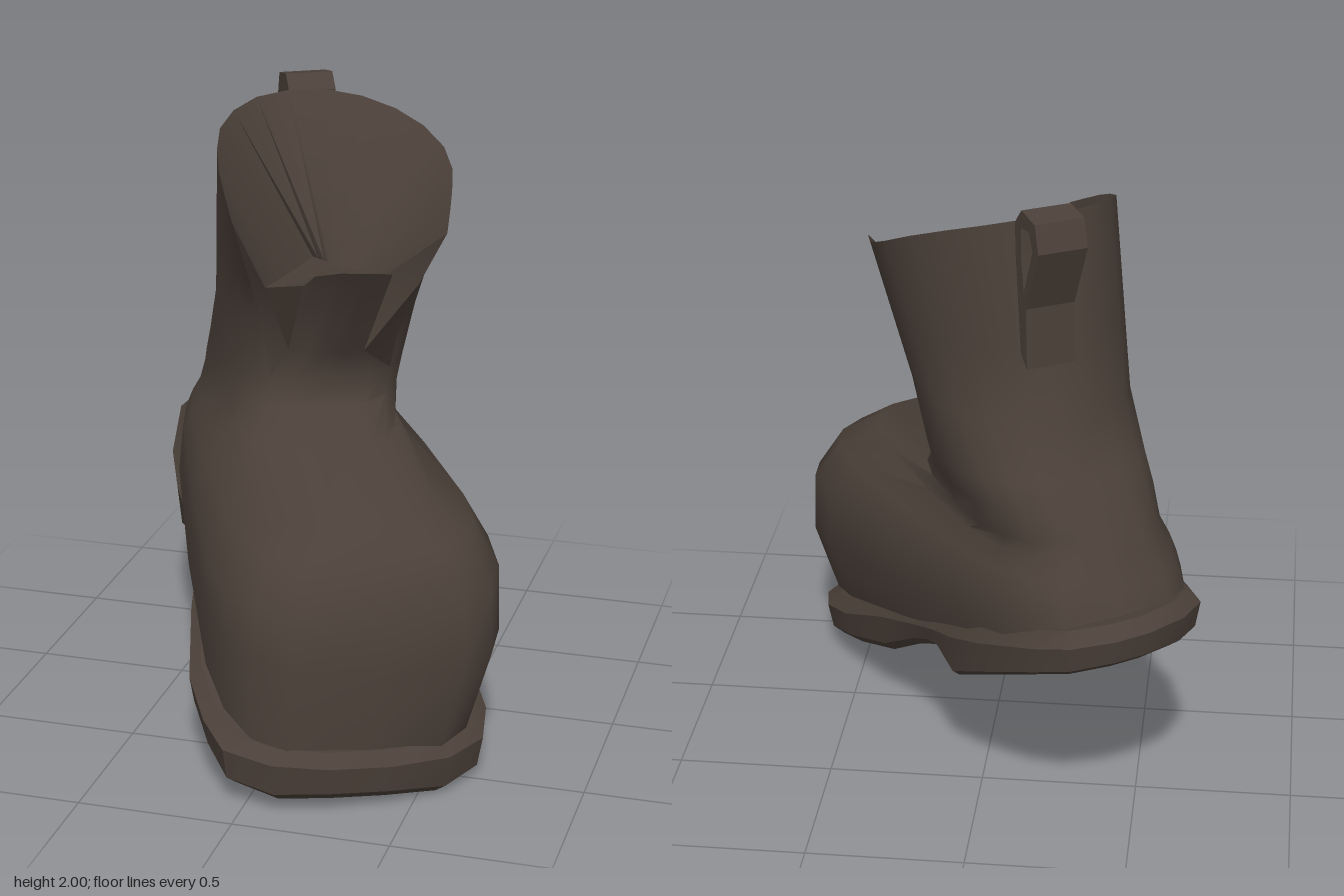
import * as THREE from 'three';
import { mergeGeometries, toCreasedNormals } from 'three/addons/utils/BufferGeometryUtils.js';

const V = (x, y, z) => new THREE.Vector3(x, y, z);
const YAW = Math.PI / 6;
// s runs heel to toe, t runs across the foot
const place = (s, t, y) => V(s * Math.sin(YAW) + t * Math.cos(YAW), y, s * Math.cos(YAW) - t * Math.sin(YAW));
const lerp = THREE.MathUtils.lerp;

// Skin rows of points, bottom row first, running counter-clockwise seen from above
function loft(rows, closed = false) {
  const n = rows[0].length, index = [];
  for (let i = 0; i < rows.length - 1; i++) {
    for (let j = 0; j < (closed ? n : n - 1); j++) {
      const k = (j + 1) % n, a = i * n + j, b = i * n + k, c = b + n, d = a + n;
      index.push(a, b, c, a, c, d);
    }
  }
  const g = new THREE.BufferGeometry().setFromPoints(rows.flat());
  g.setIndex(index);
  return g.toNonIndexed();
}

const curve = (pts, n) => new THREE.CatmullRomCurve3(pts.map(p => V(...p))).getSpacedPoints(n);
const mix = (a, b, f) => a.map((p, i) => p.clone().lerp(b[i], f));

export function createModel() {
  const boot = new THREE.Group();
  boot.name = 'boot';
  const leather = new THREE.MeshStandardMaterial({ color: 0x4b4039, side: THREE.DoubleSide });
  leather.name = 'dark brown leather';
  const add = (name, geometry, crease, parent = boot) => {
    const m = new THREE.Mesh(toCreasedNormals(geometry, crease), leather);
    m.name = name;
    parent.add(m);
    return m;
  };

  // Sole stations, toe to heel: s, left t, right t, bottom y, top y
  const stations = [
    [0.895, -0.2, 0.0, 0.03, 0.19], [0.85, -0.37, 0.2, 0.015, 0.19],
    [0.745, -0.5, 0.34, 0.03, 0.2], [0.6, -0.53, 0.395, 0.08, 0.235],
    [0.41, -0.535, 0.4, 0.14, 0.295], [0.13, -0.47, 0.38, 0.24, 0.415],
    [-0.1, -0.4, 0.365, 0.37, 0.5], [-0.23, -0.395, 0.365, 0.43, 0.55],
    [-0.31, -0.4, 0.365, 0.45, 0.58], [-0.44, -0.4, 0.365, 0.42, 0.62],
    [-0.62, -0.38, 0.35, 0.505, 0.685], [-0.865, -0.3, 0.27, 0.605, 0.765],
    [-0.965, -0.19, 0.19, 0.635, 0.79], [-1.01, -0.05, 0.06, 0.65, 0.8],
  ];
  const soleSide = (side, inset, height) => stations.map(st => {
    const c = (st[1] + st[2]) / 2;
    const t = c + (st[side] - c) * (1 - inset / 0.45);
    return place(st[0] * (1 - inset / 0.95), t, height(st[3], st[4]) - 0.07 * t);
  });
  const soleRing = (inset, height) =>
    [...soleSide(2, inset, height), ...soleSide(1, inset, height).reverse()];
  const bottom = b => b, top = (b, t) => t;
  const sole = new THREE.Group();
  sole.name = 'sole';
  boot.add(sole);
  add('soleEdge', loft([
    soleRing(0.05, bottom), soleRing(0.015, b => b + 0.03),
    soleRing(0, (b, t) => t - 0.04), soleRing(0.04, top),
  ], true), 0.45, sole);
  add('soleTread', loft([soleSide(1, 0.05, bottom), soleSide(2, 0.05, bottom)]), 0.3, sole);
  add('weltTop', loft([soleSide(2, 0.04, top), soleSide(1, 0.04, top)]), 0.3, sole);

  // Foot rings: back s, front s, back half width, front half width, back t, front t, back y, front y, squareness
  const N = 20;
  const rings = [
    [-0.94, 0.85, 0.33, 0.475, -0.01, -0.07, 0.75, 0.17, 0.55],
    [-0.915, 0.865, 0.33, 0.525, 0, -0.03, 0.81, 0.44, 0.55],
    [-0.89, 0.845, 0.325, 0.515, 0, -0.02, 0.86, 0.64, 0.55],
    [-0.865, 0.775, 0.32, 0.43, 0, -0.02, 0.9, 0.79, 0.58],
    [-0.845, 0.69, 0.315, 0.3, 0, -0.03, 0.95, 0.865, 0.65],
    [-0.815, 0.2, 0.31, 0.27, 0.01, 0, 1.0, 0.935, 0.72],
    [-0.775, 0.04, 0.315, 0.29, 0.025, 0.025, 1.08, 1.03, 0.75],
    [-0.72, 0.015, 0.32, 0.3, 0.04, 0.04, 1.17, 1.12, 0.75],
  ].map(([sB, sF, wB, wF, tB, tF, yB, yF, e], r) => Array.from({ length: N }, (_, k) => {
    const pow = v => Math.sign(v) * Math.abs(v) ** e;
    const a = k / N * Math.PI * 2, f = (pow(Math.cos(a)) + 1) / 2;
    const t = lerp(tB, tF, f) + lerp(wB, wF, f) * pow(Math.sin(a));
    return place(lerp(sB, sF, f), t, lerp(yB, yF, f) - (r < 2 ? 0.07 * t : 0));
  }));

  // Shaft rows, open at the front
  const ankle = rings.at(-1);
  const shaftBase = ankle.slice(2, N - 1);
  const mid = curve([
    [0.25, 1.33, -0.05], [0.245, 1.32, -0.27], [0.125, 1.31, -0.48], [-0.09, 1.31, -0.595],
    [-0.28, 1.31, -0.6], [-0.4, 1.31, -0.45], [-0.44, 1.31, -0.25], [-0.355, 1.32, -0.07], [-0.18, 1.33, 0.08],
  ], 16);
  const rim = curve([
    [0.43, 1.66, 0.07], [0.38, 1.74, -0.2], [0.33, 1.8, -0.36], [0.18, 1.88, -0.49],
    [0, 1.93, -0.54], [-0.12, 1.95, -0.53], [-0.25, 1.955, -0.46], [-0.34, 1.945, -0.34],
    [-0.38, 1.905, -0.16], [-0.33, 1.835, 0.05], [-0.2, 1.71, 0.31],
  ], 16);
  const upper = mix(mid, rim, 0.4);
  const shaftRows = [shaftBase, mid, upper, rim];

  // Tongue rows, leaning out through the opening
  const tongueBase = [18, 19, 0, 1, 2].map(k => ankle[k]);
  const tongueMid = curve([[-0.1, 1.22, 0.04], [0.03, 1.22, 0.045], [0.14, 1.22, -0.01]], 4);
  const tongueTop = curve([[0, 1.49, 0.2], [0.07, 1.55, 0.26], [0.18, 1.55, 0.22], [0.27, 1.53, 0.13]], 4);

  // Foot, shaft and tongue share one smooth skin
  add('upper', mergeGeometries([
    loft(rings, true), loft(shaftRows), loft([tongueBase, tongueMid, tongueTop]),
  ]), 1.0);

  // Funnel-shaped lining inside the shaft
  const floor = [
    ...curve([[0.2, 1.47, -0.03], [0.05, 1.45, -0.15], [-0.11, 1.44, -0.28]], 12),
    ...curve([[-0.11, 1.44, -0.28], [-0.12, 1.45, -0.06], [-0.14, 1.46, 0.16]], 4).slice(1),
  ];
  add('lining', loft([rim, floor]), 1.4);

  // Insole inside, meeting the top of the tongue
  const insoleEdge = [...floor, ...tongueTop];
  add('insole', loft([insoleEdge, insoleEdge.map(() => V(0.05, 1.48, 0.05))], true), 0.8);

  // Gussets joining the tongue to the shaft edges
  add('gussetRight', loft([
    [tongueBase[4], tongueMid[4], floor[0], floor[0]], shaftRows.map(r => r[0]),
  ]), 0.8);
  add('gussetLeft', loft([
    shaftRows.map(r => r[16]), [tongueBase[0], tongueMid[0], floor[16], floor[16]],
  ]), 0.8);
  add('gussetCornerRight', loft([[tongueMid[4], tongueMid[4]], [tongueTop[4], floor[0]]]), 0.8);
  add('gussetCornerLeft', loft([[tongueMid[0], tongueMid[0]], [floor[16], tongueTop[0]]]), 0.8);

  // Pull loop on the back of the shaft
  const pts = list => list.map(p => new THREE.Vector2(...p));
  const strap = new THREE.Shape(pts([
    [-0.615, 1.51], [-0.605, 1.7], [-0.69, 1.9], [-0.665, 1.985], [-0.57, 2.0],
    [-0.525, 1.95], [-0.53, 1.85], [-0.57, 1.55],
  ]));
  strap.holes.push(new THREE.Path(pts([
    [-0.59, 1.75], [-0.57, 1.85], [-0.57, 1.945], [-0.625, 1.95], [-0.65, 1.895],
  ])));
  const loop = add('pullLoop', new THREE.ExtrudeGeometry(strap, { depth: 0.16, bevelEnabled: false }).translate(0, 0, -0.18), 0.4);
  loop.rotation.y = YAW - Math.PI / 2;

  return boot;
}
